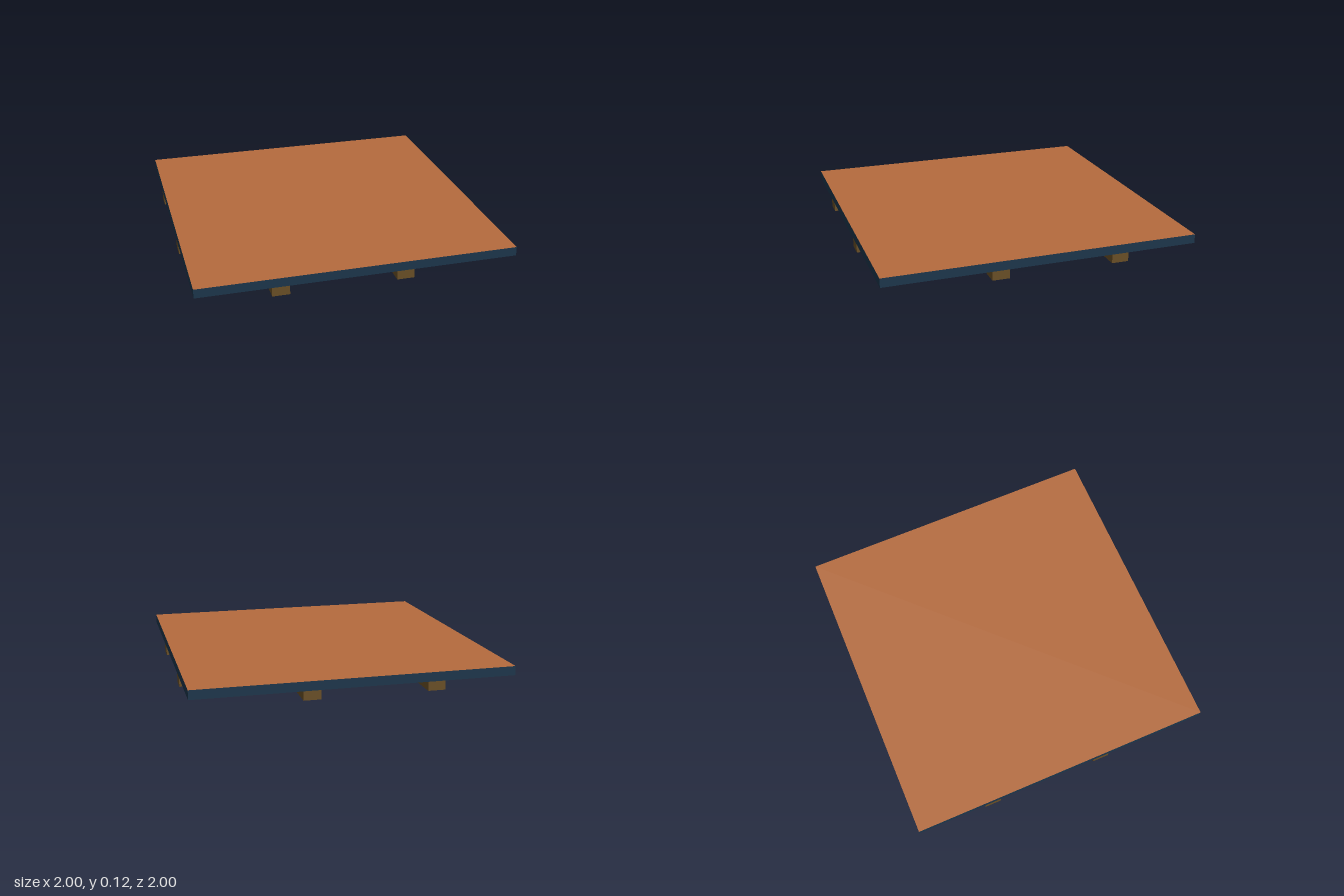
import * as THREE from 'three';

const SIZE = 2;
const BEAM_H = 0.057, BEAM_W = 0.108;
const SLAB_H = 0.058;
const BEAM_OFFSETS = [-0.49, 0.28];

const paint = (color) => new THREE.MeshStandardMaterial({ color });

export function createModel() {
  const group = new THREE.Group();
  group.name = 'panel';

  const navy = paint(0x1c364c);
  const orange = paint(0xb56b3d);
  const brown = paint(0x6b5026);

  function addBox(name, w, h, d, x, y, z, material) {
    const mesh = new THREE.Mesh(new THREE.BoxGeometry(w, h, d), material);
    mesh.name = name;
    mesh.position.set(x, y, z);
    group.add(mesh);
  }

  // Slab: dark sides and underside, orange top face
  addBox('slab', SIZE, SLAB_H, SIZE, 0, BEAM_H + SLAB_H / 2, 0,
    [navy, navy, orange, navy, navy, navy]);

  // Two beams each way, crossing under the slab
  BEAM_OFFSETS.forEach((offset, i) => {
    addBox(`lengthwiseBeam${i + 1}`, BEAM_W, BEAM_H, SIZE, offset, BEAM_H / 2, 0, brown);
    addBox(`crosswiseBeam${i + 1}`, SIZE, BEAM_H, BEAM_W, 0, BEAM_H / 2, offset, brown);
  });

  return group;
}
